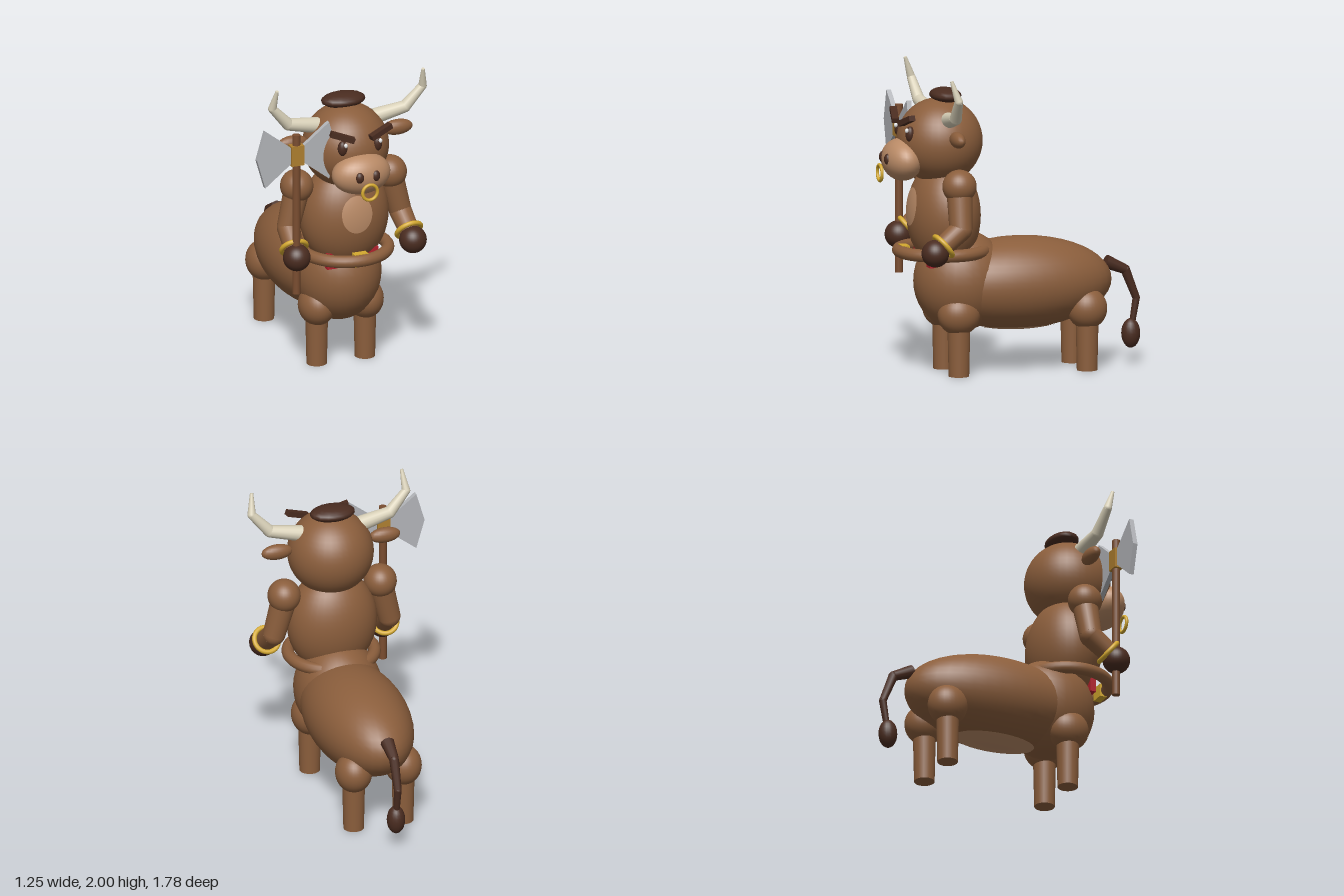
import * as THREE from 'three';

const mat = (name, color) => {
  const m = new THREE.MeshStandardMaterial({ color });
  m.name = name;
  return m;
};
const V = (x, y, z) => new THREE.Vector3(x, y, z);

export function createModel() {
  const hide = mat('brown hide', 0x8b5e3c);
  const tan = mat('tan skin', 0xb98a66);
  const dark = mat('dark hair and hoof', 0x4a2c20);
  const ivory = mat('ivory', 0xd8d0b8);
  const gold = mat('gold', 0xd4a92f);
  const bronze = mat('bronze', 0xb08030);
  const steel = mat('steel', 0xb4b6ba);
  const wood = mat('wood', 0x7a4d30);
  const red = mat('red cloth', 0xb3202c);
  const white = mat('white', 0xe8e8e8);

  const model = new THREE.Group();
  model.name = 'bullCentaur';
  // the body's centre line lies slightly to the left because of the axe
  const body = new THREE.Group();
  body.name = 'body';
  body.position.x = 0.06;
  model.add(body);

  const add = (name, geo, material, p = [0, 0, 0], r = [0, 0, 0]) => {
    const m = new THREE.Mesh(geo, material);
    m.name = name;
    m.position.set(...p);
    m.rotation.set(...r);
    body.add(m);
    return m;
  };
  const ball = (name, material, p, r, seg = 32) =>
    add(name, new THREE.SphereGeometry(1, seg, Math.ceil(seg * 0.6)).scale(...r), material, p);
  // thin patch lying on an ellipsoid, turned about x from facing up
  const patch = (name, material, p, r, angle, turn) =>
    add(name, new THREE.SphereGeometry(1.012, 32, 8, 0, Math.PI * 2, 0, angle).rotateX(turn).scale(...r), material, p);
  // tapered cylinder between two points
  const limb = (name, material, a, b, ra, rb, seg = 20) => {
    const d = b.clone().sub(a);
    const m = add(name, new THREE.CylinderGeometry(rb, ra, d.length(), seg), material,
      a.clone().add(b).multiplyScalar(0.5).toArray());
    m.quaternion.setFromUnitVectors(V(0, 1, 0), d.normalize());
    return m;
  };
  // chain of tapered limbs with rounded joints
  const chain = (name, material, pts, radii, seg) => {
    for (let i = 0; i < pts.length - 1; i++) {
      limb(name, material, pts[i], pts[i + 1], radii[i], radii[i + 1], seg);
      if (i) ball(name + 'Joint', material, pts[i].toArray(), [radii[i], radii[i], radii[i]], seg);
    }
  };

  // trunk
  const barrel = { p: [0, 0.573, -0.055], r: [0.325, 0.303, 0.63] };
  const torso = { p: [0, 1.04, 0.447], r: [0.3, 0.355, 0.236] };
  ball('barrel', hide, barrel.p, barrel.r, 40);
  patch('bellyPatch', tan, barrel.p, barrel.r, 0.46, Math.PI);
  ball('lowerChest', hide, [0, 0.605, 0.33], [0.287, 0.33, 0.312]);
  ball('torso', hide, torso.p, torso.r, 40);
  patch('chestPatch', tan, torso.p, torso.r, 0.36, Math.PI / 2 - 0.19);

  // belt, buckle and cloth
  add('belt', new THREE.TorusGeometry(0.282, 0.041, 14, 48), hide, [0, 0.81, 0.46], [Math.PI / 2, 0, 0]);
  add('buckle', new THREE.BoxGeometry(0.095, 0.088, 0.05), gold, [0, 0.81, 0.715]);
  add('loincloth', new THREE.BoxGeometry(0.36, 0.11, 0.04), red, [0, 0.775, 0.575]);

  // head
  ball('head', hide, [0, 1.53, 0.475], [0.283, 0.28, 0.28], 40);
  ball('muzzle', tan, [0, 1.417, 0.73], [0.2, 0.138, 0.13]);
  ball('forelock', dark, [0, 1.827, 0.435], [0.152, 0.048, 0.1], 16);
  add('noseRing', new THREE.TorusGeometry(0.052, 0.011, 12, 32), gold, [0, 1.335, 0.88]);

  for (const s of [1, -1]) {
    ball('nostril', dark, [s * 0.056, 1.43, 0.842], [0.03, 0.038, 0.025], 16);
    ball('eye', dark, [s * 0.122, 1.6, 0.712], [0.033, 0.052, 0.03], 20);
    ball('eyeGlint', white, [s * 0.122 + 0.012, 1.625, 0.737], [0.013, 0.016, 0.013], 12);
    add('eyebrow', new THREE.BoxGeometry(0.165, 0.036, 0.045), dark,
      [s * 0.135, 1.69, 0.74], [0, s * 0.2, s * 0.35]);
    ball('ear', hide, [s * 0.37, 1.587, 0.465], [0.106, 0.052, 0.045], 20);
    chain('horn', ivory, [V(s * 0.2, 1.69, 0.475), V(s * 0.41, 1.732, 0.49),
      V(s * 0.53, 1.865, 0.505), V(s * 0.515, 2, 0.55)], [0.053, 0.04, 0.028, 0.011], 16);

    // arm
    const elbow = V(s * 0.395, 1.0, 0.45), hand = V(s * 0.41, 0.855, 0.628);
    ball('shoulder', hide, [s * 0.33, 1.275, 0.44], [0.108, 0.11, 0.112]);
    chain('arm', hide, [V(s * 0.33, 1.25, 0.44), elbow, hand], [0.085, 0.074, 0.064], 24);
    ball('hand', dark, hand.toArray(), [0.09, 0.09, 0.09]);
    const cuff = add('bracelet', new THREE.TorusGeometry(0.083, 0.016, 12, 32), gold,
      elbow.clone().lerp(hand, 0.68).toArray());
    cuff.quaternion.setFromUnitVectors(V(0, 0, 1), hand.clone().sub(elbow).normalize());

    // front and hind legs
    for (const [z, r] of [[0.395, 0.14], [-0.475, 0.132]]) {
      ball('thigh', hide, [s * 0.17, 0.405, z], [0.12, 0.135, r]);
      add('leg', new THREE.CylinderGeometry(0.076, 0.067, 0.4, 24), hide, [s * 0.17, 0.2, z]);
    }
  }

  // tail
  chain('tail', dark, [V(0, 0.68, -0.65), V(0, 0.62, -0.785), V(0, 0.43, -0.86), V(0, 0.25, -0.83)],
    [0.045, 0.032, 0.025, 0.02], 10);
  ball('tailTuft', dark, [0, 0.2, -0.823], [0.06, 0.097, 0.062], 20);

  // double-bladed axe held in the right hand
  const axeX = -0.412, axeZ = 0.625;
  add('axeHandle', new THREE.CylinderGeometry(0.026, 0.026, 1.105, 16), wood, [axeX, 1.157, axeZ]);
  add('axeSocket', new THREE.BoxGeometry(0.088, 0.137, 0.06), bronze, [axeX, 1.57, axeZ]);
  const outline = new THREE.Shape([[0.03, -0.045], [0.225, -0.197], [0.282, 0], [0.225, 0.197], [0.03, 0.045]]
    .map(([x, y]) => new THREE.Vector2(x, y)));
  const blade = new THREE.ExtrudeGeometry(outline, { depth: 0.032, bevelEnabled: false }).translate(0, 0, -0.016);
  for (const turn of [0, Math.PI]) add('axeBlade', blade, steel, [axeX, 1.572, axeZ], [0, turn, 0]);

  return model;
}
